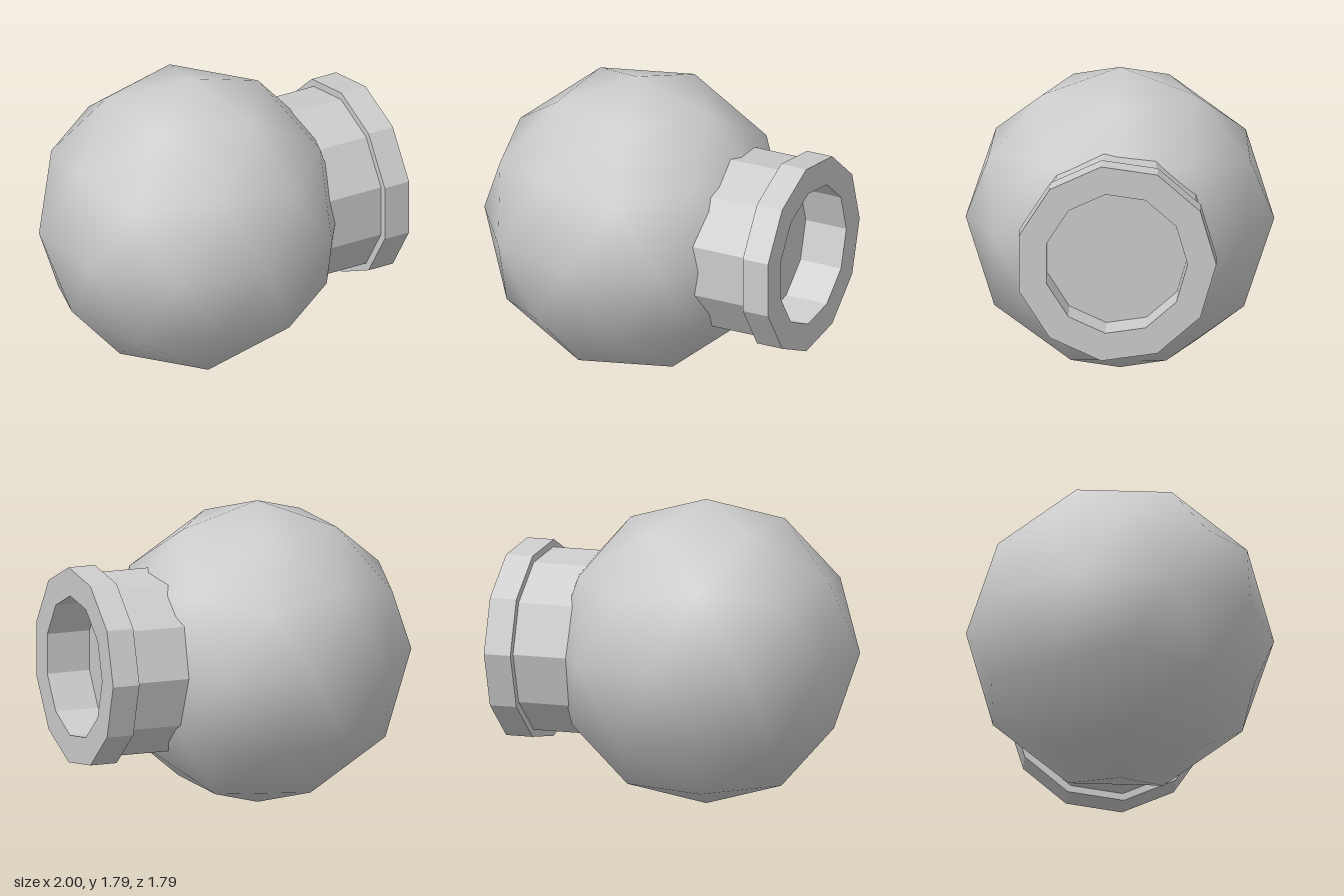
import * as THREE from 'three';

const material = () => new THREE.MeshStandardMaterial({ color: 0xcccccc });

export function createModel() {
  const group = new THREE.Group();
  const centreY = 0.893;

  // Round body: once-divided icosahedron, turned so a corner points straight up
  const ball = new THREE.IcosahedronGeometry(0.893, 1);
  ball.rotateZ(-Math.atan(2 / (1 + Math.sqrt(5))));
  const body = new THREE.Mesh(ball, material());
  body.name = 'body';
  body.position.set(-0.151, centreY, 0);
  group.add(body);

  // Eleven-sided neck with a wider rim and a recessed flat floor: [radius, x]
  const profile = [
    [0, 0.4], [0.54, 0.4], [0.54, 0.835], [0.583, 0.835],
    [0.583, 1], [0.417, 1], [0.417, 0.735], [0, 0.735],
  ].map(([r, x]) => new THREE.Vector2(r, x));
  const spout = new THREE.LatheGeometry(profile, 11, Math.PI).toNonIndexed();
  spout.rotateZ(-Math.PI / 2);
  spout.computeVertexNormals();
  const neckMaterial = material();
  neckMaterial.flatShading = true;
  const neck = new THREE.Mesh(spout, neckMaterial);
  neck.name = 'neck';
  neck.position.y = centreY;
  group.add(neck);

  return group;
}
